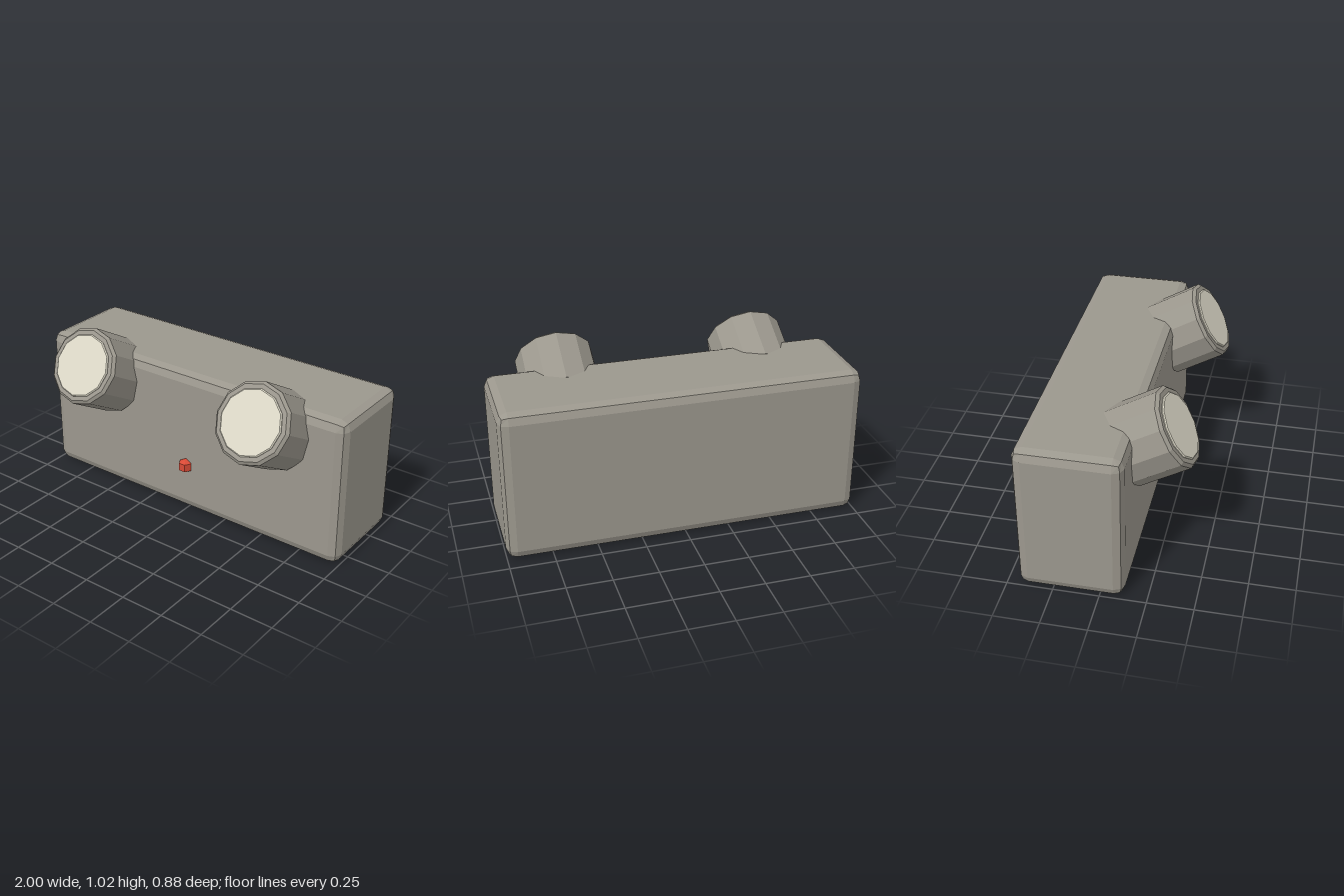
import * as THREE from 'three';
import { RoundedBoxGeometry } from 'three/addons/geometries/RoundedBoxGeometry.js';

const SIDES = 12;

function makeMaterial(name, color) {
  const material = new THREE.MeshStandardMaterial({ color, flatShading: true });
  material.name = name;
  return material;
}

function makeMesh(name, geometry, material) {
  const mesh = new THREE.Mesh(geometry, material);
  mesh.name = name;
  return mesh;
}

// Closed disc-like solid along y with chamfered rims
function chamferedCylinder(radius, bottom, top, chamfer) {
  const profile = [
    [0, bottom], [radius - chamfer, bottom], [radius, bottom + chamfer],
    [radius, top - chamfer], [radius - chamfer, top], [0, top],
  ].map(([r, y]) => new THREE.Vector2(r, y));
  return new THREE.LatheGeometry(profile, SIDES);
}

export function createModel() {
  const model = new THREE.Group();
  model.name = 'twinLampBox';

  const grey = makeMaterial('warm grey', 0x9b978d);
  const cream = makeMaterial('cream', 0xdcd8c7);
  const red = makeMaterial('red', 0xd94a36);

  // Housing with bevelled edges
  const housing = makeMesh('housing', new RoundedBoxGeometry(2, 0.86, 0.57, 1, 0.056), grey);
  housing.position.set(0, 0.43, -0.155);
  model.add(housing);

  // Two lamps tilted 30 degrees upward
  for (const side of [-1, 1]) {
    const lamp = new THREE.Group();
    lamp.name = side > 0 ? 'leftLamp' : 'rightLamp';
    lamp.add(makeMesh('lampBarrel', chamferedCylinder(0.222, -0.335, 0.004, 0.016), grey));
    lamp.add(makeMesh('lampLens', chamferedCylinder(0.181, -0.01, 0.014, 0.006), cream));
    lamp.position.set(side * 0.57, 0.83, 0.33);
    lamp.rotation.x = Math.PI / 3;
    model.add(lamp);
  }

  // Small faceted indicator bead
  const bead = makeMesh('indicator', new THREE.SphereGeometry(0.045, 6, 3), red);
  bead.position.set(0, 0.29, 0.137);
  model.add(bead);

  return model;
}
